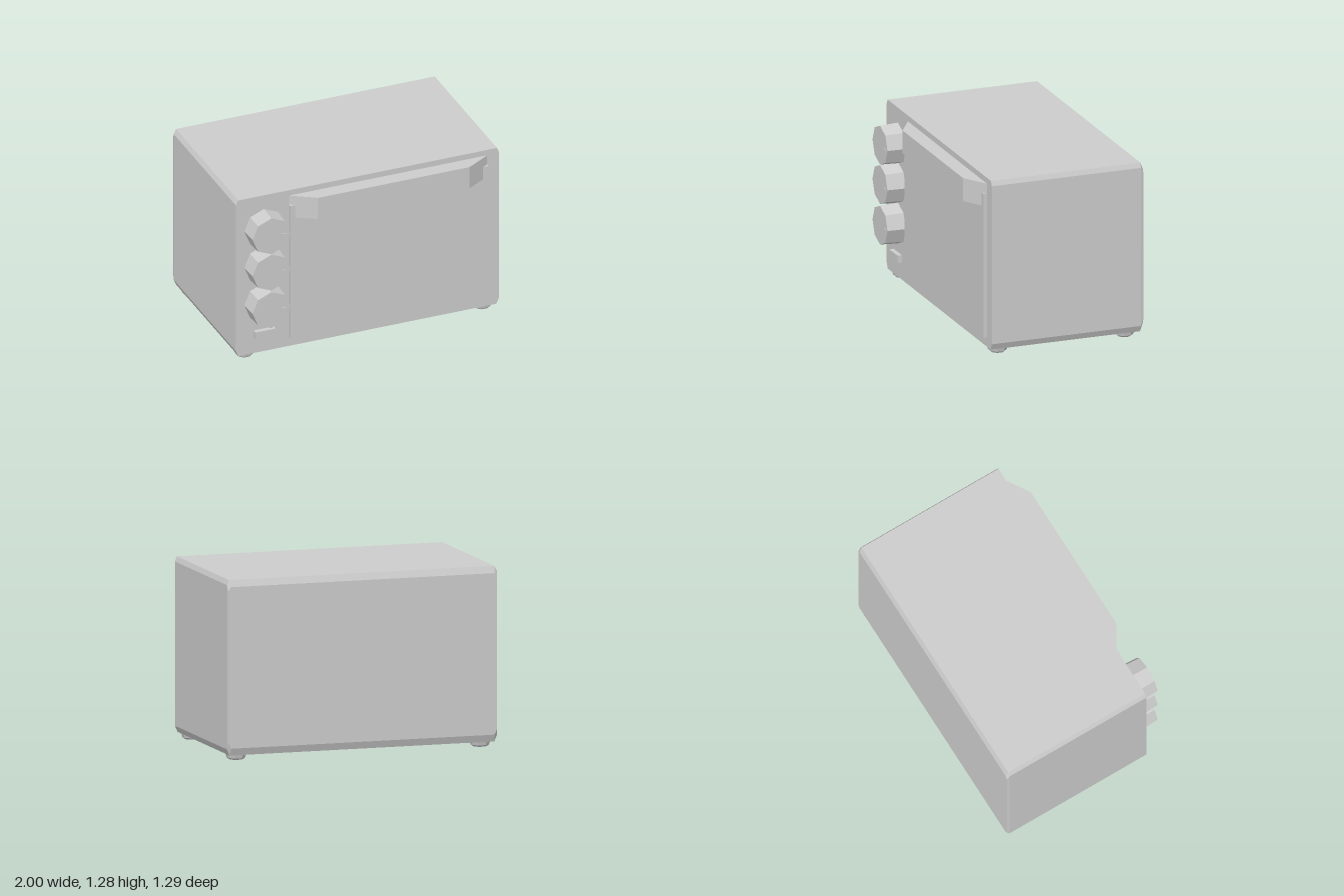
import * as THREE from 'three';

export function createModel() {
  const group = new THREE.Group();
  const grey = new THREE.MeshStandardMaterial({ color: 0xcccccc });
  grey.name = 'light grey';

  const add = (geometry, name, x = 0, y = 0, z = 0) => {
    const mesh = new THREE.Mesh(geometry, grey);
    mesh.name = name;
    mesh.position.set(x, y, z);
    group.add(mesh);
    return mesh;
  };
  const polygon = (points) => new THREE.Shape(points.map(([x, y]) => new THREE.Vector2(x, y)));
  const flat = (geometry) => {
    const g = geometry.index ? geometry.toNonIndexed() : geometry;
    g.computeVertexNormals();
    return g;
  };

  // Housing: chamfered outline, drawn in slightly at the rear
  const outline = polygon([
    [-0.98, 0.04], [0.98, 0.04], [1, 0.085], [1, 1.25],
    [0.985, 1.285], [-0.98, 1.285], [-1, 1.25], [-1, 0.085],
  ]);
  const housing = new THREE.ExtrudeGeometry(outline, { depth: 1.145, steps: 2, bevelEnabled: false });
  const p = housing.attributes.position;
  for (let i = 0; i < p.count; i++) {
    const z = p.getZ(i);
    if (z < 0.01) {
      p.setXYZ(i, p.getX(i) * 0.995, 0.68 + (p.getY(i) - 0.68) * 0.92, -0.64);
    } else {
      p.setZ(i, z < 1 ? -0.62 : 0.505);
    }
  }
  add(flat(housing), 'housing');

  // Door panel
  add(new THREE.BoxGeometry(1.505, 1.06, 0.04), 'door', 0.157, 0.64, 0.51);

  // Full-width handle with tapered ends
  const plan = polygon([[-0.595, -0.505], [-0.42, -0.615], [0.73, -0.615], [0.91, -0.505]]);
  const handle = new THREE.ExtrudeGeometry(plan, { depth: 0.17, bevelEnabled: false });
  handle.rotateX(-Math.PI / 2);
  add(flat(handle), 'doorHandle', 0, 1.072, 0);

  // Octagonal knobs with pointer marks
  for (const y of [1.025, 0.735, 0.435]) {
    const knob = new THREE.CylinderGeometry(0.143, 0.15, 0.135, 8);
    knob.rotateX(Math.PI / 2);
    add(flat(knob), 'knob', -0.785, y, 0.5725);
    add(new THREE.BoxGeometry(0.035, 0.014, 0.009), 'knobPointer', -0.692, y - 0.003, 0.641);
  }

  // Push button
  add(new THREE.BoxGeometry(0.155, 0.055, 0.04), 'button', -0.787, 0.193, 0.518);

  // Octagonal feet
  const profile = [[0, 0], [0.052, 0], [0.066, 0.012], [0.075, 0.045]].map(([r, y]) => new THREE.Vector2(r, y));
  for (const x of [-0.903, 0.903]) {
    for (const z of [0.425, -0.53]) {
      add(flat(new THREE.LatheGeometry(profile, 8, Math.PI / 8)), 'foot', x, 0, z);
    }
  }
  return group;
}
